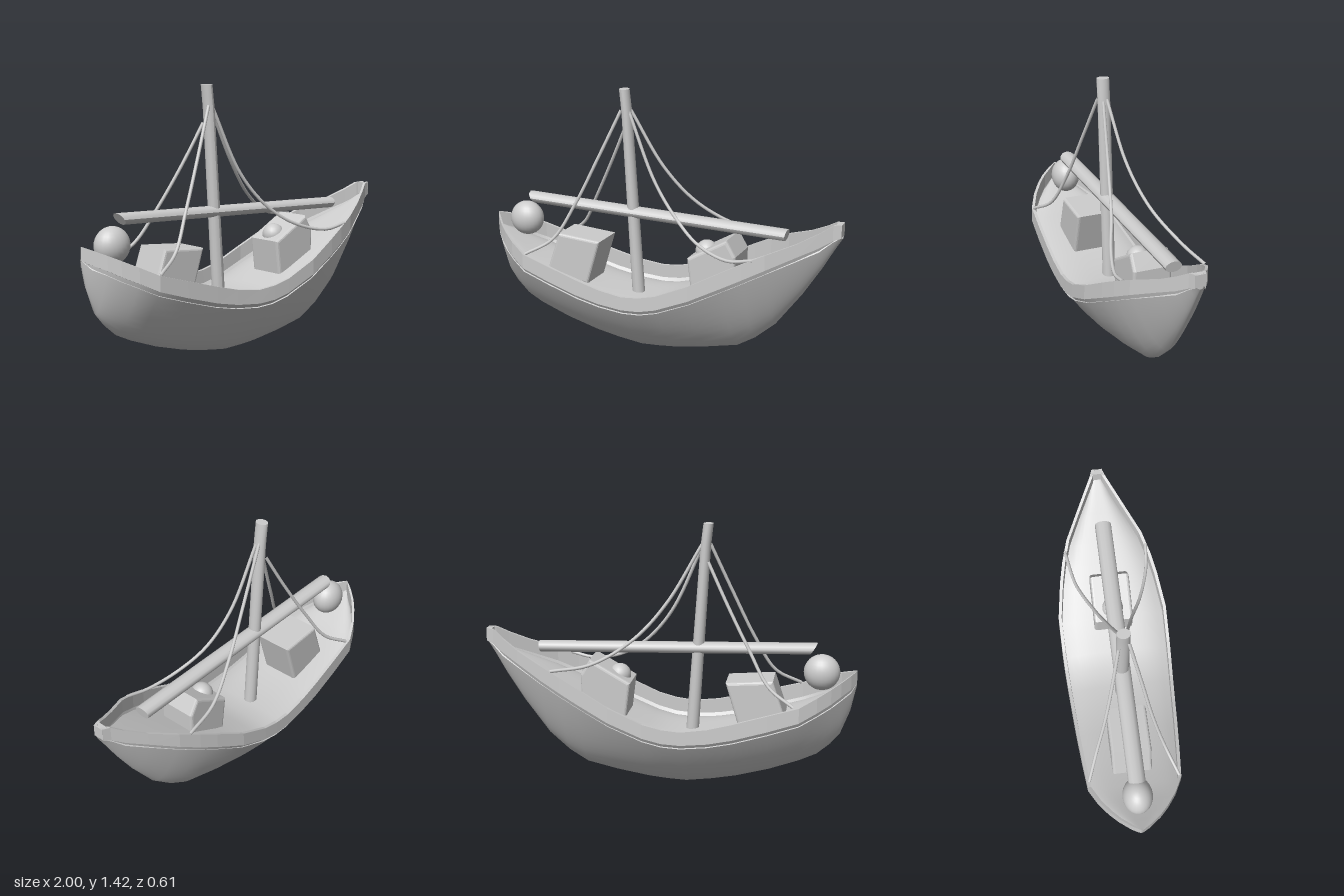
import * as THREE from 'three';

const material = new THREE.MeshStandardMaterial({ color: 0xcccccc });
const flat = new THREE.MeshStandardMaterial({ color: 0xcccccc, flatShading: true });
const thin = new THREE.MeshStandardMaterial({ color: 0xcccccc, side: THREE.DoubleSide });

// Boat stations: x, keel height, hull edge height, rail top height, half width
const stations = [
  [-1.0, 0.58, 0.6, 0.66, 0.003],
  [-0.97, 0.44, 0.58, 0.645, 0.05],
  [-0.92, 0.31, 0.555, 0.62, 0.11],
  [-0.87, 0.25, 0.525, 0.595, 0.155],
  [-0.8, 0.19, 0.49, 0.56, 0.205],
  [-0.71, 0.148, 0.445, 0.515, 0.25],
  [-0.55, 0.09, 0.395, 0.47, 0.265],
  [-0.37, 0.042, 0.345, 0.42, 0.279],
  [-0.24, 0.018, 0.32, 0.388, 0.287],
  [-0.1, 0.0, 0.308, 0.37, 0.295],
  [0.0, 0.005, 0.315, 0.38, 0.3],
  [0.1, 0.014, 0.34, 0.405, 0.303],
  [0.28, 0.043, 0.415, 0.485, 0.303],
  [0.45, 0.08, 0.5, 0.575, 0.273],
  [0.55, 0.14, 0.55, 0.625, 0.248],
  [0.66, 0.235, 0.605, 0.675, 0.211],
  [0.8, 0.42, 0.67, 0.73, 0.136],
  [0.9, 0.575, 0.715, 0.782, 0.079],
  [0.96, 0.68, 0.75, 0.82, 0.043],
  [1.0, 0.745, 0.765, 0.825, 0.028],
];

// Skin a row of cross-sections (each a list of [x, y, z])
function loft(sections, closed = false) {
  const n = sections[0].length;
  const index = [];
  for (let i = 0; i < sections.length - 1; i++) {
    for (let j = 0; j < (closed ? n : n - 1); j++) {
      const k = (j + 1) % n;
      const a = i * n + j, b = i * n + k, c = (i + 1) * n + j, d = (i + 1) * n + k;
      index.push(a, b, c, b, d, c);
    }
  }
  const geometry = new THREE.BufferGeometry();
  geometry.setAttribute('position', new THREE.Float32BufferAttribute(sections.flat(2), 3));
  geometry.setIndex(index);
  geometry.computeVertexNormals();
  return geometry;
}

// Side-view outline extruded across the boat with rounded edges
function chest(points, width) {
  const bevel = 0.015;
  const shape = new THREE.Shape(points.map(([x, y]) => new THREE.Vector2(x, y)));
  const geometry = new THREE.ExtrudeGeometry(shape, {
    depth: width - 2 * bevel, bevelThickness: bevel, bevelSize: bevel, bevelOffset: -bevel, bevelSegments: 3,
  });
  return geometry.translate(0, 0, -width / 2 + bevel);
}

function rope(points) {
  const curve = new THREE.CatmullRomCurve3(points.map((p) => new THREE.Vector3(...p)));
  return new THREE.TubeGeometry(curve, 32, 0.009, 8);
}

export function createModel() {
  const model = new THREE.Group();
  const add = (name, geometry, mat = material) => {
    const mesh = new THREE.Mesh(geometry, mat);
    mesh.name = name;
    model.add(mesh);
    return mesh;
  };

  // Rounded V hull
  const steps = 20;
  add('hull', loft(stations.map(([x, keel, edge, , w]) =>
    Array.from({ length: steps + 1 }, (_, j) => {
      const s = 1 - (2 * j) / steps;
      return [x, keel + (edge - keel) * Math.abs(s) ** 1.52, w * s];
    }))), thin);

  // Slightly crowned deck, falling off towards the sides
  add('deck', loft(stations.map(([x, keel, edge, , w]) => {
    const drop = Math.min(0.03, (edge - keel) * 0.2);
    return Array.from({ length: 17 }, (_, j) => {
      const s = j / 8 - 1;
      return [x, edge - 0.004 - drop * s ** 4, w * s * 0.96];
    });
  })), thin);

  // Raised rail along both sides
  for (const side of [1, -1]) {
    const rings = stations.map(([x, , edge, top, w]) => {
      const inner = Math.max(w - 0.017, 0);
      const ring = [[x, top, w * side], [x, edge - 0.01, (w + 0.002) * side],
        [x, edge - 0.01, inner * side], [x, top, inner * side]];
      return side > 0 ? ring : ring.reverse();
    });
    add(side > 0 ? 'frontRail' : 'backRail', loft(rings, true), flat);
  }
  add('bowBlock', new THREE.BoxGeometry(0.03, 0.065, 0.06)).position.set(0.985, 0.79, 0);

  // Leaning mast, narrower fore and aft towards the bent tip
  const mast = new THREE.CylinderGeometry(0.035, 0.035, 1.17, 16, 20);
  const mp = mast.attributes.position;
  for (let i = 0; i < mp.count; i++) {
    const y = mp.getY(i) + 0.835;
    const hook = Math.max(0, y - 1.3) * 0.05;
    const taper = 1 - (y - 0.25) * 0.2;
    mp.setXYZ(i, mp.getX(i) * taper - 0.126 - (y - 0.25) * 0.064 - hook, y, mp.getZ(i));
  }
  mast.computeVertexNormals();
  add('mast', mast);

  // Flattened yard with a slanted end
  const yard = new THREE.CylinderGeometry(0.045, 0.045, 1.475, 12).rotateZ(Math.PI / 2);
  const yp = yard.attributes.position;
  for (let i = 0; i < yp.count; i++) {
    const y = yp.getY(i) * 0.68;
    yp.setY(i, y);
    yp.setX(i, yp.getX(i) - y * (yp.getX(i) < 0 ? 0.7 : -0.15));
  }
  yard.computeVertexNormals();
  const yardMesh = add('yard', yard);
  yardMesh.position.set(-0.031, 0.75, 0);
  yardMesh.rotation.z = -0.029;

  // Cargo
  add('aftChest', chest([[-0.65, 0.36], [-0.39, 0.34], [-0.315, 0.59], [-0.565, 0.61]], 0.215));
  add('foreChest', chest([[0.22, 0.36], [0.46, 0.41], [0.465, 0.605], [0.415, 0.69], [0.195, 0.565]], 0.215));
  const ball = add('sternBall', new THREE.SphereGeometry(0.096, 24, 16));
  ball.position.set(-0.815, 0.645, 0);
  ball.scale.z = 0.83;
  add('smallBall', new THREE.SphereGeometry(0.06, 20, 14)).position.set(0.268, 0.588, 0);

  // Sagging stays from the mast to the rails
  add('foreStayBack', rope([[-0.175, 1.31, -0.01], [0.005, 1.0, -0.05], [0.175, 0.81, -0.11],
    [0.39, 0.685, -0.19], [0.6, 0.65, -0.226]]));
  add('foreStayFront', rope([[-0.175, 1.3, 0.01], [-0.015, 0.95, 0.045], [0.13, 0.77, 0.09],
    [0.28, 0.665, 0.155], [0.46, 0.62, 0.21], [0.6, 0.645, 0.226]]));
  add('aftStayFront', rope([[-0.215, 1.31, 0.025], [-0.33, 1.05, 0.075], [-0.45, 0.79, 0.125],
    [-0.56, 0.6, 0.18], [-0.7, 0.515, 0.24]]));
  add('aftStayBack', rope([[-0.21, 1.22, -0.025], [-0.32, 1.0, -0.07], [-0.44, 0.78, -0.125],
    [-0.55, 0.6, -0.185], [-0.68, 0.515, -0.24]]));

  return model;
}
